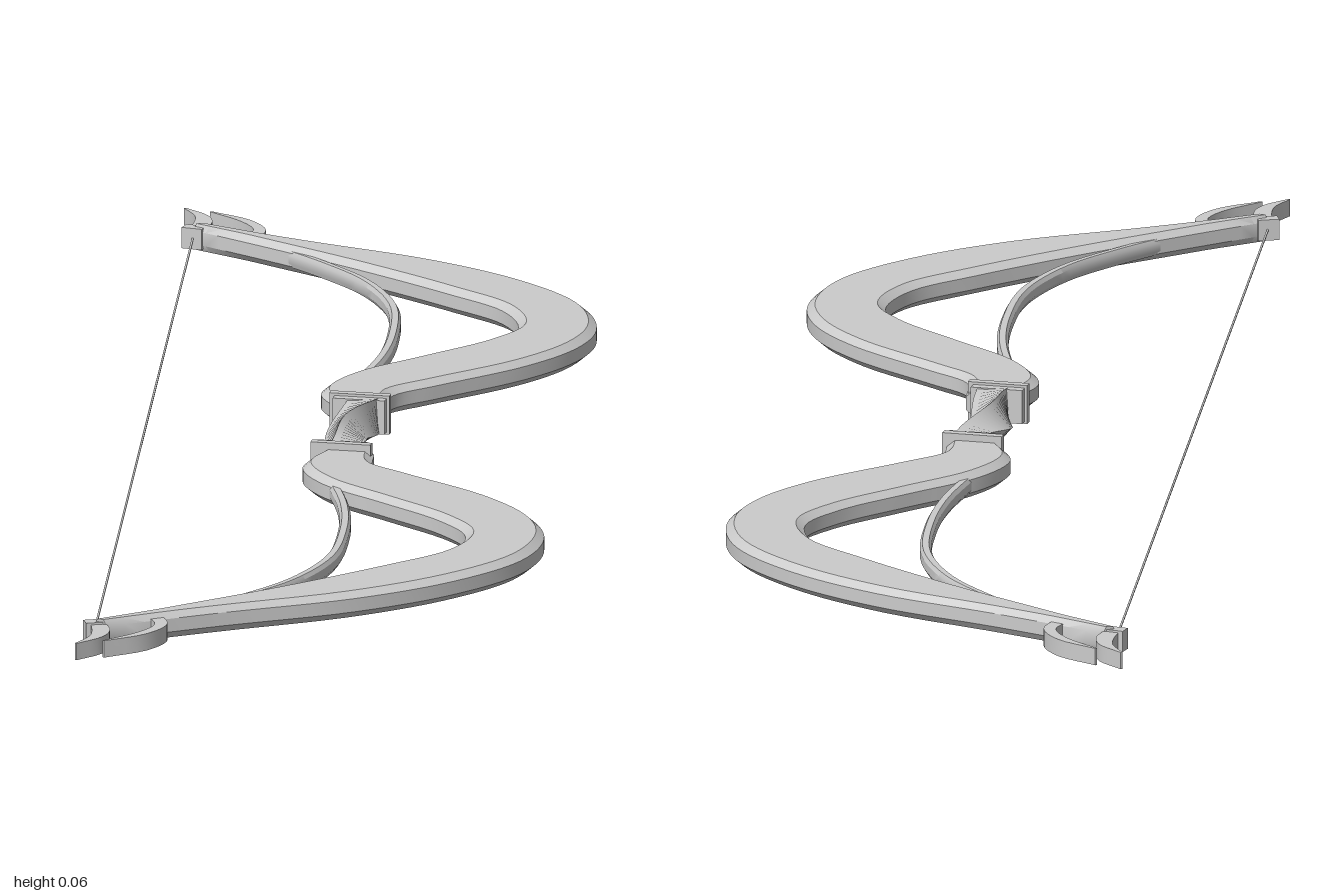
import * as THREE from 'three';
import { toCreasedNormals } from 'three/addons/utils/BufferGeometryUtils.js';

const MID = 0.0335; // height of the bow's middle plane

// Closed skin through equal-sized rings of Vector3, capped at both ends
function loft(rings) {
  const n = rings[0].length;
  const tris = [];
  for (let i = 0; i < rings.length - 1; i++) {
    for (let j = 0; j < n; j++) {
      const k = (j + 1) % n;
      const a = rings[i][j], b = rings[i][k], c = rings[i + 1][k], d = rings[i + 1][j];
      tris.push([a, b, c], [a, c, d]);
    }
  }
  const last = rings[rings.length - 1];
  for (let j = 1; j < n - 1; j++) {
    tris.push([rings[0][0], rings[0][j + 1], rings[0][j]], [last[0], last[j], last[j + 1]]);
  }
  // Face outward whichever way the rings run
  const cross = new THREE.Vector3();
  const volume = tris.reduce((v, [a, b, c]) => v + a.dot(cross.crossVectors(b, c)), 0);
  const points = tris.flatMap((t) => (volume < 0 ? [t[0], t[2], t[1]] : t));
  const geometry = new THREE.BufferGeometry().setFromPoints(points);
  return toCreasedNormals(geometry, 0.5);
}

const curve = (pts, side) =>
  new THREE.CatmullRomCurve3(pts.map(([x, z]) => new THREE.Vector3(x, 0, z * side)));

// Flat band between two edge lines [x, z], with bevelled long edges
function band(outer, inner, side, half, bevel, steps) {
  const a = curve(outer, side), b = curve(inner, side);
  const rings = [];
  for (let i = 0; i <= steps; i++) {
    const p = a.getPoint(i / steps), q = b.getPoint(i / steps);
    const inset = Math.min(0.25, bevel / Math.max(p.distanceTo(q), 0.001));
    const at = (t, y) => p.clone().lerp(q, t).setY(MID + y);
    rings.push(bevel > 0
      ? [at(0, -half / 2), at(0, half / 2), at(inset, half), at(1 - inset, half),
         at(1, half / 2), at(1, -half / 2), at(1 - inset, -half), at(inset, -half)]
      : [at(0, -half), at(0, half), at(1, half), at(1, -half)]);
  }
  return loft(rings);
}

const LIMB_OUTER = [[0.035, 0.105], [0.04, 0.165], [0.09, 0.215], [0.19, 0.31], [0.246, 0.395],
  [0.265, 0.48], [0.243, 0.58], [0.167, 0.68], [0.055, 0.765], [-0.1, 0.84], [-0.235, 0.912]];
const LIMB_INNER = [[-0.025, 0.105], [-0.047, 0.17], [-0.017, 0.245], [0.06, 0.325], [0.135, 0.405],
  [0.17, 0.475], [0.147, 0.56], [0.075, 0.635], [-0.03, 0.73], [-0.155, 0.832], [-0.25, 0.906]];
const BRACE = [[-0.016, 0.22], [0.007, 0.34], [0.014, 0.45], [0.005, 0.58], [-0.033, 0.685], [-0.085, 0.76], [-0.15, 0.835]];
const HOOK_OUTER = [[-0.238, 0.9], [-0.229, 0.935], [-0.236, 0.967], [-0.265, 1]];
const HOOK_INNER = [[-0.256, 0.9], [-0.251, 0.935], [-0.252, 0.965], [-0.267, 0.998]];
const BARB_OUTER = [[-0.172, 0.862], [-0.162, 0.905], [-0.184, 0.95], [-0.233, 0.986]];
const BARB_INNER = [[-0.19, 0.868], [-0.177, 0.905], [-0.195, 0.943], [-0.235, 0.984]];

export function createModel() {
  const bow = new THREE.Group();
  bow.name = 'bow';
  const grey = new THREE.MeshStandardMaterial({ color: 0xcccccc });
  grey.name = 'grey';
  const add = (name, geometry, parent = bow) => {
    const mesh = new THREE.Mesh(geometry, grey);
    mesh.name = name;
    parent.add(mesh);
    return mesh;
  };

  // Two mirrored limbs with brace, tip hooks and collars
  for (const side of [1, -1]) {
    const arm = new THREE.Group();
    arm.name = side > 0 ? 'frontArm' : 'backArm';
    bow.add(arm);
    add('limb', band(LIMB_OUTER, LIMB_INNER, side, 0.0165, 0.01, 60), arm);
    const braceEdge = BRACE.map(([x, z]) => [x + 0.014, z]);
    add('brace', band(braceEdge, BRACE, side, 0.01, 0.003, 36), arm);
    add('tipHook', band(HOOK_OUTER, HOOK_INNER, side, 0.0105, 0, 12), arm);
    add('tipBarb', band(BARB_OUTER, BARB_INNER, side, 0.0105, 0, 12), arm);

    // Nock block holding the string
    const nock = add('nock', new THREE.BoxGeometry(0.026, 0.026, 0.016), arm);
    nock.position.set(-0.249, MID, side * 0.905);
    nock.rotation.y = side * 0.3;

    // Stepped collar between limb and grip
    [[0.074, 0.048, 0.011, 0.113], [0.064, 0.042, 0.012, 0.101]].forEach(([w, h, d, z]) => {
      const collar = add('collar', new THREE.BoxGeometry(w, h, d), arm);
      collar.position.set(side * -0.004, MID + 0.001, side * z);
      collar.rotation.y = -0.15;
    });
  }

  // Twisted square grip, bowed slightly along its length
  const rings = [];
  for (let i = 0; i <= 20; i++) {
    const t = i / 10 - 1;
    const centre = -0.005 * Math.cos(t * Math.PI) - 0.004 * t;
    rings.push([0, 1, 2, 3].map((k) => {
      const angle = t * Math.PI / 4 + k * Math.PI / 2;
      return new THREE.Vector3(centre + 0.026 * Math.cos(angle),
        MID + 0.0305 * Math.sin(angle), t * 0.105);
    }));
  }
  add('grip', loft(rings));

  // Taut string between the nocks
  const string = add('string', new THREE.CylinderGeometry(0.0014, 0.0014, 1.81, 6));
  string.rotation.x = Math.PI / 2;
  string.position.set(-0.25, MID, 0);

  return bow;
}
